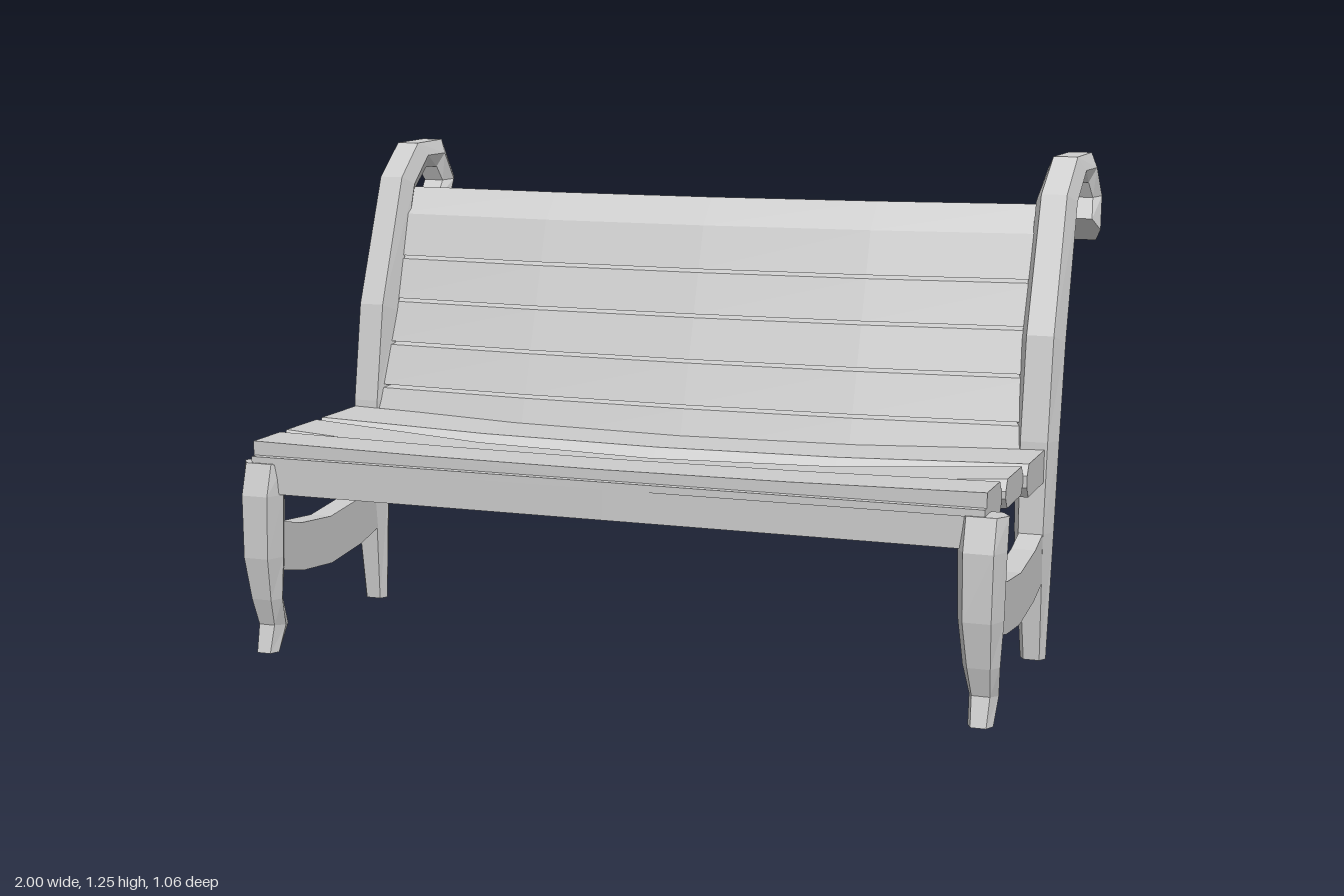
import * as THREE from 'three';

const material = new THREE.MeshStandardMaterial({ color: 0xcccccc, flatShading: true });

// Closed, capped skin over a list of equal-sized rings of [x, y, z] points
function loft(name, rings) {
  const n = rings[0].length;
  const index = [];
  for (let r = 0; r < rings.length - 1; r++) {
    for (let i = 0; i < n; i++) {
      const a = r * n + i, b = r * n + (i + 1) % n;
      index.push(a, b, b + n, a, b + n, a + n);
    }
  }
  const last = (rings.length - 1) * n;
  for (let i = 1; i < n - 1; i++) {
    index.push(0, i + 1, i, last, last + i, last + i + 1);
  }

  // Turn the faces outward if the rings run the other way
  const points = rings.flat().map(p => new THREE.Vector3(...p));
  let volume = 0;
  const cross = new THREE.Vector3();
  for (let i = 0; i < index.length; i += 3) {
    cross.crossVectors(points[index[i + 1]], points[index[i + 2]]);
    volume += points[index[i]].dot(cross);
  }
  if (volume < 0) index.reverse();

  const indexed = new THREE.BufferGeometry().setFromPoints(points);
  indexed.setIndex(index);
  const geometry = indexed.toNonIndexed();
  geometry.computeVertexNormals();
  const mesh = new THREE.Mesh(geometry, material);
  mesh.name = name;
  return mesh;
}

// Six-sided timber; rows are [front z, front y, back z, back y, width, x shift]
function timber(name, x, rows) {
  return loft(name, rows.map(([zf, yf, zb, yb, width, shift]) => {
    const w = width / 2, c = x + shift;
    const ym = (yf + yb) / 2, zm = (zf + zb) / 2;
    return [
      [c - w * 0.62, yf, zf], [c + w * 0.62, yf, zf], [c + w, ym, zm],
      [c + w * 0.62, yb, zb], [c - w * 0.62, yb, zb], [c - w, ym, zm],
    ];
  }));
}

// Board along x with a [z, y] section, bowed most in the middle
function board(name, x0, x1, section, bowY = 0, bowZ = 0) {
  const rings = [];
  for (let i = 0; i <= 4; i++) {
    const t = i / 4, bow = 4 * t * (1 - t);
    const x = x0 + (x1 - x0) * t;
    rings.push(section.map(([z, y]) => [x, y + bowY * bow, z + bowZ * bow]));
  }
  return loft(name, rings);
}

// Rear post, foot to tip of the scroll
const postRows = [
  [-0.09, 0, -0.13, 0, 0.065, 0.005],
  [-0.065, 0.33, -0.15, 0.33, 0.1, 0],
  [-0.08, 0.56, -0.165, 0.56, 0.11, 0],
  [-0.125, 0.82, -0.22, 0.78, 0.11, 0],
  [-0.26, 1.16, -0.335, 1.12, 0.105, 0],
  [-0.347, 1.25, -0.395, 1.18, 0.1, 0.01],
  [-0.47, 1.255, -0.435, 1.18, 0.095, 0.025],
  [-0.532, 1.145, -0.455, 1.14, 0.09, 0.035],
  [-0.46, 1.03, -0.395, 1.09, 0.09, 0.045],
];

// Front leg, foot to top
const legRows = [
  [0.515, 0, 0.465, 0, 0.06, 0.005],
  [0.495, 0.07, 0.425, 0.06, 0.07, 0.005],
  [0.515, 0.14, 0.457, 0.14, 0.088, 0.003],
  [0.532, 0.25, 0.443, 0.25, 0.108, 0],
  [0.53, 0.41, 0.44, 0.41, 0.115, 0],
  [0.505, 0.49, 0.435, 0.49, 0.115, 0],
];

// Sagging side rail: [z, top y, bottom y]
const railRows = [
  [0.46, 0.335, 0.207], [0.345, 0.307, 0.18], [0.19, 0.292, 0.165],
  [0.02, 0.309, 0.182], [-0.085, 0.335, 0.207],
];

export function createModel() {
  const group = new THREE.Group();
  group.name = 'bench';

  // Both ends are the same shape, so the scrolls lean the same way
  for (const [side, x] of [['right', -0.943], ['left', 0.908]]) {
    const end = new THREE.Group();
    end.name = side + 'End';
    end.add(timber('rearPost', x, postRows));
    end.add(timber('frontLeg', x, legRows));
    end.add(loft('sideRail', railRows.map(([z, top, bottom]) => [
      [x - 0.03, bottom, z], [x + 0.03, bottom, z], [x + 0.03, top, z], [x - 0.03, top, z],
    ])));
    group.add(end);
  }

  // Front apron between the legs, with a thin ledge above
  const rect = (z0, z1, y0, y1) => [[z0, y0], [z1, y0], [z1, y1], [z0, y1]];
  group.add(board('frontApron', -0.92, 0.89, rect(0.445, 0.497, 0.412, 0.492)));
  group.add(board('apronLedge', -0.965, 0.915, rect(0.43, 0.5, 0.488, 0.506)));

  // Seat slats with chamfered long edges: [back z, front z, bottom y, sag, x0, x1]
  const seat = new THREE.Group();
  seat.name = 'seat';
  const seatRows = [
    [0.326, 0.48, 0.457, 0.01, -0.97, 0.915],
    [0.13, 0.326, 0.472, 0.042, -0.972, 0.925],
    [-0.08, 0.13, 0.46, 0.02, -0.975, 0.935],
  ];
  seatRows.forEach(([zb, zf, yb, sag, x0, x1], i) => {
    const yt = 0.542, cy = 0.026, cb = i === 2 ? 0 : 0.018, cf = i === 0 ? 0 : 0.018;
    seat.add(board('seatSlat', x0, x1, [
      [zb + cb, yt], [zf - cf, yt], [zf, yt - cy], [zf, yb + cy],
      [zf - cf, yb], [zb + cb, yb], [zb, yb + cy], [zb, yt - cy],
    ], -sag));
  });
  group.add(seat);

  // Reclined back slats; the top one ends in a slope
  const back = new THREE.Group();
  back.name = 'backrest';
  const frontZ = y => -0.09 - 0.335 * (y - 0.55);
  const thick = 0.05;
  for (let i = 0; i < 5; i++) {
    const y0 = 0.488 + i * 0.115, y1 = y0 + 0.106;
    const top = i === 4;
    const yf = top ? 1.06 : y1, yb = top ? 1.13 : y1 + 0.012;
    const zb = top ? -0.33 : frontZ(yb) - thick;
    back.add(board('backSlat', -0.925, 0.892, [
      [frontZ(y0), y0], [frontZ(yf), yf], [zb, yb], [frontZ(y0 + 0.012) - thick, y0 + 0.012],
    ], -0.004, 0.024));
  }
  group.add(back);

  return group;
}
